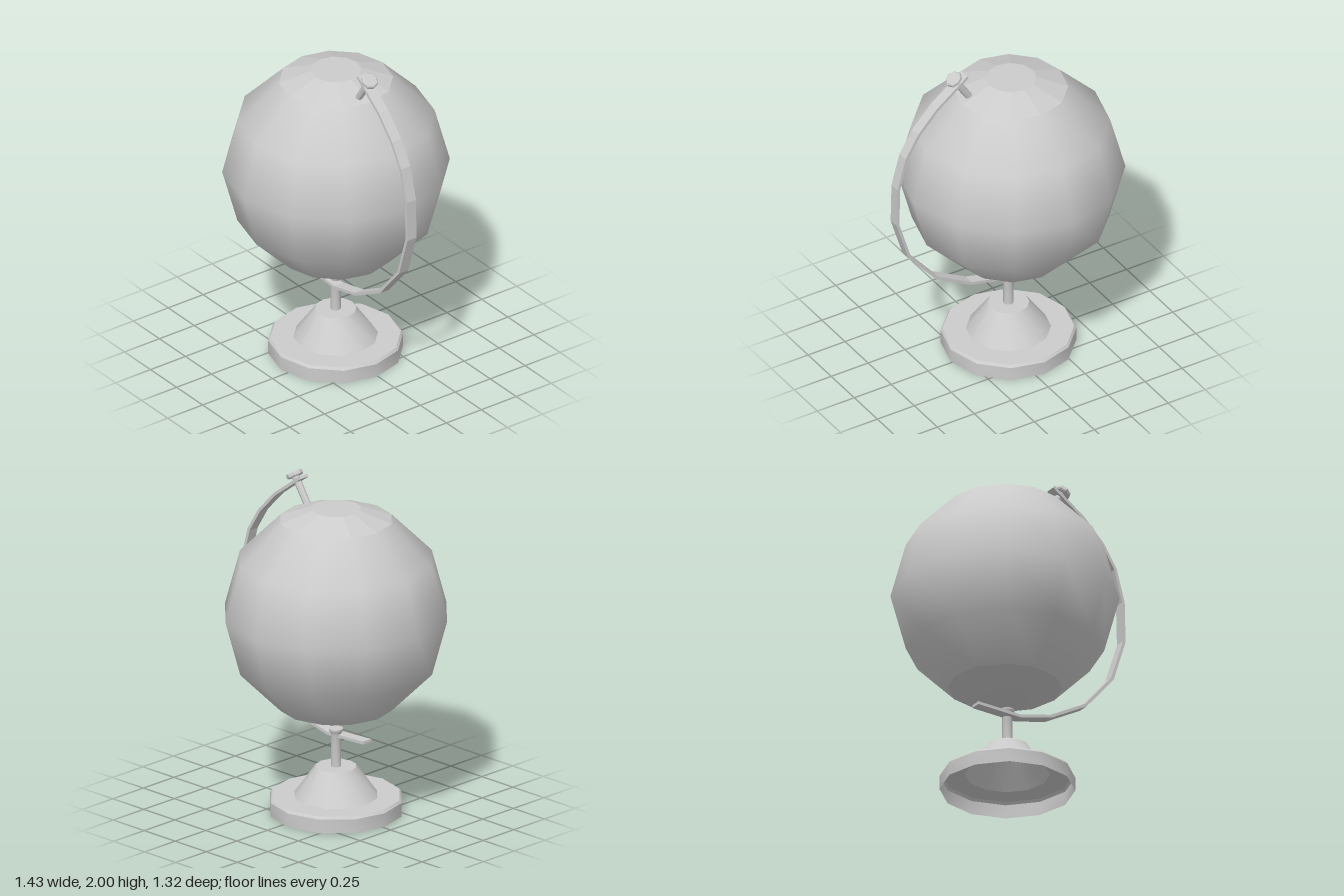
import * as THREE from 'three';
import { toCreasedNormals } from 'three/addons/utils/BufferGeometryUtils.js';

const grey = (opts = {}) => new THREE.MeshStandardMaterial({ color: 0xcccccc, ...opts });
const v2 = ([x, y]) => new THREE.Vector2(x, y);

// Turned part from a [radius, y] profile, listed bottom to top
function turned(name, profile, sides, opts, creased = false) {
  let geometry = new THREE.LatheGeometry(profile.map(v2), sides);
  if (creased) geometry = toCreasedNormals(geometry, 0.62);
  const mesh = new THREE.Mesh(geometry, grey(opts));
  mesh.name = name;
  return mesh;
}

// Outline of a strip of even thickness along a polyline, mitred at the bends
function stripShape(path, thickness) {
  const pts = path.map(v2);
  const normal = (a, b) => new THREE.Vector2(a.y - b.y, b.x - a.x).normalize();
  const offsets = pts.map((p, i) => {
    const before = i > 0 ? normal(pts[i - 1], p) : normal(p, pts[i + 1]);
    const after = i < pts.length - 1 ? normal(p, pts[i + 1]) : before;
    const m = before.clone().add(after).normalize();
    return m.multiplyScalar(thickness / 2 / m.dot(before));
  });
  const inner = pts.map((p, i) => p.clone().add(offsets[i]));
  const outer = pts.map((p, i) => p.clone().sub(offsets[i]));
  return new THREE.Shape([...outer, ...inner.reverse()]);
}

export function createModel() {
  const model = new THREE.Group();
  model.name = 'deskGlobe';

  // Globe: smooth ball with faceted polar caps
  const globe = new THREE.Group();
  globe.name = 'globe';
  globe.position.set(-0.06, 1.217, 0);
  globe.add(turned('ball', [[0.33, -0.57], [0.57, -0.328], [0.658, 0], [0.57, 0.328], [0.33, 0.57]], 12));
  globe.add(turned('topCap', [[0.33, 0.57], [0.147, 0.637], [0, 0.637]], 12, { flatShading: true }));
  globe.add(turned('bottomCap', [[0, -0.637], [0.147, -0.637], [0.33, -0.57]], 12, { flatShading: true }));
  model.add(globe);

  // Hollow stand: rim, cone and stem with a flared top
  const stand = new THREE.Group();
  stand.name = 'stand';
  stand.position.set(-0.05, 0, 0.01);
  const open = { side: THREE.DoubleSide };
  stand.add(turned('base', [[0.39, 0], [0.39, 0.083], [0.378, 0.098], [0.245, 0.098]], 12, open, true));
  stand.add(turned('cone', [[0.245, 0.098], [0.12, 0.275], [0, 0.275]], 12, open, true));
  stand.add(turned('stem', [[0.03, 0.275], [0.03, 0.475], [0.042, 0.495], [0.042, 0.505], [0, 0.505]], 12, open, true));
  model.add(stand);

  // Curved arm carrying the globe
  const path = [
    [-0.28, 0.474], [0.01, 0.459], [0.21, 0.507], [0.443, 0.634], [0.625, 0.848], [0.704, 1.1],
    [0.698, 1.347], [0.645, 1.543], [0.56, 1.682], [0.434, 1.814], [0.23, 1.966],
  ];
  const arm = new THREE.Mesh(
    new THREE.ExtrudeGeometry(stripShape(path, 0.018), { depth: 0.066, bevelEnabled: false }),
    grey({ flatShading: true }),
  );
  arm.name = 'arm';
  model.add(arm);

  // Tilted pin through the upper end of the arm, with a flat knob
  const pin = new THREE.Group();
  pin.name = 'pin';
  pin.position.set(0.201, 1.8, 0.033);
  pin.rotation.z = -0.58;
  pin.add(turned('shaft', [[0, 0], [0.022, 0], [0.022, 0.185], [0, 0.185]], 8, {}, true));
  pin.add(turned('knob', [[0, 0.176], [0.042, 0.176], [0.05, 0.183], [0.05, 0.2], [0.042, 0.207], [0, 0.207]], 8, { flatShading: true }));
  model.add(pin);

  return model;
}
